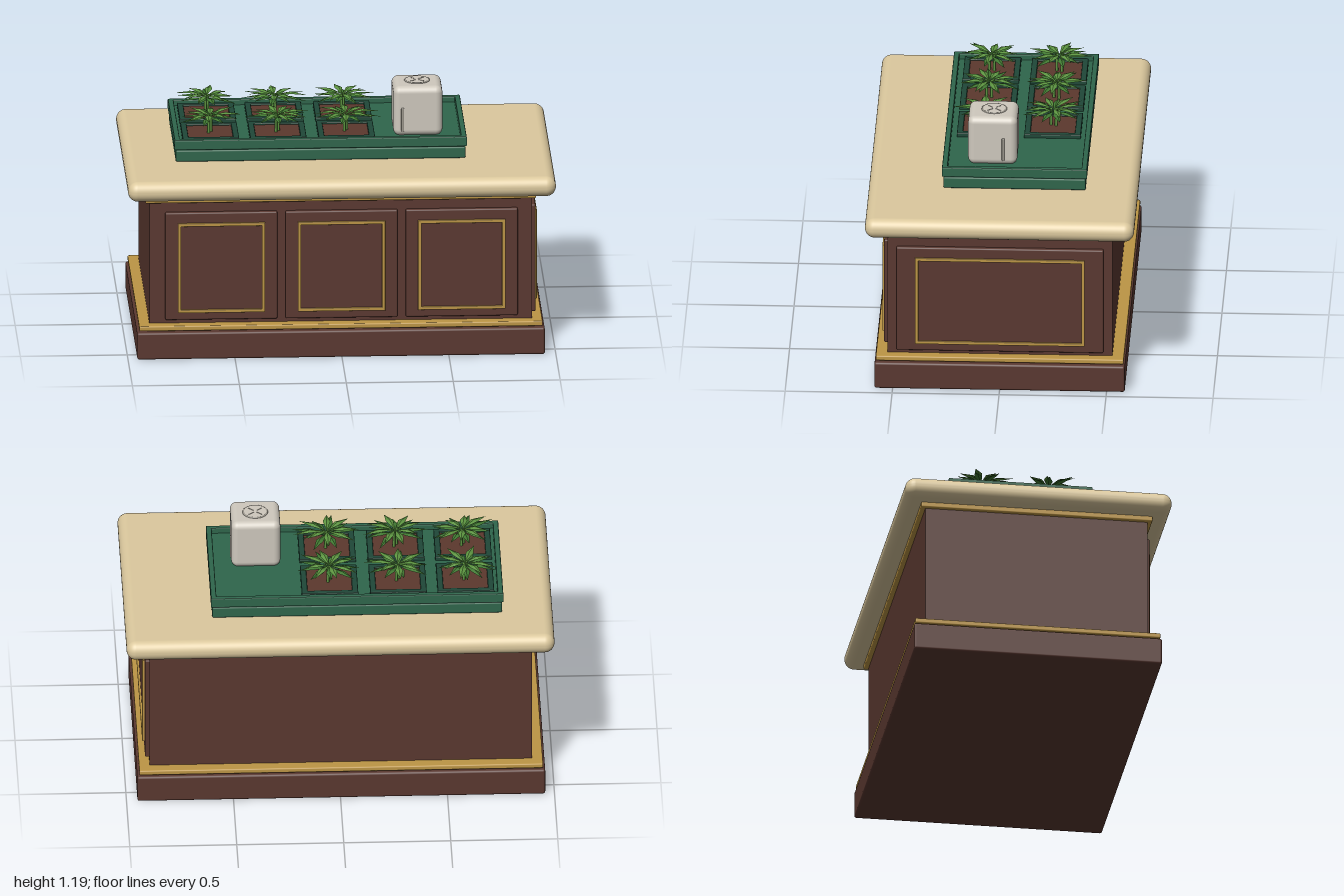
import * as THREE from 'three';
import { mergeGeometries } from 'three/addons/utils/BufferGeometryUtils.js';
import { RoundedBoxGeometry } from 'three/addons/geometries/RoundedBoxGeometry.js';

const material = (name, color, extra = {}) => {
  const m = new THREE.MeshStandardMaterial({ color, ...extra });
  m.name = name;
  return m;
};

export function createModel() {
  const wood = material('dark wood', 0x5a3830);
  const gold = material('gold trim', 0xbd9645);
  const stone = material('cream countertop', 0xdcc99e);
  const green = material('tray green', 0x2f664c);
  const potGreen = material('pot green', 0x1f4838);
  const soilMat = material('soil', 0x5c382e);
  const casing = material('light casing', 0xcfc9be);
  const metal = material('grey metal', 0x9c978d);
  const leafLight = material('light leaf', 0x5c9440, { side: THREE.DoubleSide });
  const leafDark = material('dark leaf', 0x417a32, { side: THREE.DoubleSide });

  const model = new THREE.Group();
  model.name = 'plantCounter';

  const add = (parent, name, geometry, mat, x = 0, y = 0, z = 0) => {
    const mesh = new THREE.Mesh(geometry, mat);
    mesh.name = name;
    mesh.position.set(x, y, z);
    parent.add(mesh);
    return mesh;
  };
  // Rounded block given by its bottom height and size
  const block = (parent, name, mat, w, h, d, x, y, z, r = 0.008, seg = 2) =>
    add(parent, name, new RoundedBoxGeometry(w, h, d, seg, r), mat, x, y + h / 2, z);
  // Rectangular frame in the xy plane, extruded along +z
  const frame = (w, h, border, depth, bevel = 0) => {
    const rect = (Type, a, b) => {
      const s = new Type();
      s.moveTo(-a, -b);
      s.lineTo(a, -b);
      s.lineTo(a, b);
      s.lineTo(-a, b);
      s.closePath();
      return s;
    };
    const shape = rect(THREE.Shape, w / 2 - bevel, h / 2 - bevel);
    shape.holes.push(rect(THREE.Path, w / 2 - border + bevel, h / 2 - border + bevel));
    const g = new THREE.ExtrudeGeometry(shape, {
      depth: depth - 2 * bevel, bevelEnabled: bevel > 0,
      bevelSize: bevel, bevelThickness: bevel, bevelSegments: 2,
    });
    return g.translate(0, 0, bevel);
  };

  // Cabinet with plinth, trims and countertop
  const cx = -0.004;
  block(model, 'plinth', wood, 1.906, 0.13, 1.17, cx, 0, 0, 0.01);
  add(model, 'cabinetBody', new THREE.BoxGeometry(1.788, 0.66, 1.05), wood, cx, 0.45, 0);
  block(model, 'lowerTrim', gold, 1.886, 0.024, 1.158, cx, 0.137, 0, 0.006);
  block(model, 'upperTrim', gold, 1.826, 0.026, 1.092, cx, 0.75, 0, 0.006);
  block(model, 'countertop', stone, 2, 0.096, 1.258, 0, 0.774, 0, 0.046, 5);

  // Raised panels with gold frames: three in front, one on the +x side
  const addPanel = (name, w, goldW, x, z, turn) => {
    const panel = new THREE.Group();
    panel.name = name;
    block(panel, 'panelBoard', wood, w, 0.522, 0.03, 0, -0.261, 0.005, 0.007);
    add(panel, 'panelFrame', frame(goldW, 0.436, 0.015, 0.014, 0.003), gold, 0, -0.007, 0.016);
    panel.position.set(x, 0.441, z);
    panel.rotation.y = turn;
    model.add(panel);
  };
  [-0.562, 0, 0.562].forEach((x) => addPanel('frontPanel', 0.524, 0.408, x, 0.525, 0));
  addPanel('sidePanel', 0.968, 0.792, 0.89, 0, Math.PI / 2);

  // Planting tray
  const tray = new THREE.Group();
  tray.name = 'tray';
  tray.position.set(-0.085, 0, -0.055);
  model.add(tray);
  block(tray, 'trayBase', green, 1.355, 0.056, 0.666, 0, 0.87, 0, 0.008);
  add(tray, 'trayFloor', new THREE.BoxGeometry(1.33, 0.035, 0.64), green, 0, 0.9325, 0);
  const rim = add(tray, 'trayRim', frame(1.366, 0.678, 0.026, 0.05, 0.006), green, 0, 0.928, 0);
  rim.rotation.x = -Math.PI / 2;

  // Folded, pointed leaf lying along +x
  const leaf = (length, width, lift, droop) => {
    const g = new THREE.BufferGeometry();
    const m = length * 0.5;
    g.setAttribute('position', new THREE.Float32BufferAttribute([
      0, 0, 0, m, lift, 0, length, lift - droop, 0,
      m, lift - 0.006, width / 2, m, lift - 0.006, -width / 2,
    ], 3));
    g.setIndex([0, 3, 1, 3, 2, 1, 0, 1, 4, 1, 2, 4]);
    const flat = g.toNonIndexed();
    flat.computeVertexNormals();
    return flat;
  };

  let seed = 17;
  const rand = () => (seed = (seed * 16807) % 2147483647) / 2147483647;

  const whorl = (count, length, width, lift, droop, offset) => {
    const leaves = [];
    for (let i = 0; i < count; i++) {
      const g = leaf(length * (0.8 + 0.35 * rand()), width, lift, droop * (0.6 + 0.8 * rand()));
      g.rotateY(offset + ((i + 0.35 * rand()) / count) * Math.PI * 2);
      leaves.push(g);
    }
    return mergeGeometries(leaves);
  };

  // Six potted seedlings in two rows
  for (const z of [-0.215, 0.1]) {
    for (const x of [-0.595, -0.28, 0.04]) {
      const pot = new THREE.Group();
      pot.name = 'pottedPlant';
      pot.position.set(x, 0, z);
      model.add(pot);
      const lip = add(pot, 'potRim', frame(0.264, 0.264, 0.028, 0.024, 0.005), potGreen, 0, 0.946, 0);
      lip.rotation.x = -Math.PI / 2;
      add(pot, 'soil', new THREE.BoxGeometry(0.215, 0.012, 0.215), soilMat, 0, 0.955, 0);
      for (const [sx, sz] of [[-0.006, 0.012], [0.006, -0.012]]) {
        add(pot, 'stem', new THREE.CylinderGeometry(0.006, 0.007, 0.09, 8), leafLight, sx, 1, sz);
      }
      const turn = rand() * 6;
      add(pot, 'lowerLeaves', whorl(9, 0.15, 0.036, 0.014, 0.012, turn), leafDark, 0, 1.032, 0);
      add(pot, 'upperLeaves', whorl(8, 0.14, 0.036, 0.016, 0.012, turn + 0.4), leafLight, 0, 1.044, 0);
    }
  }

  // Small appliance with side slots and a round top vent
  const unit = new THREE.Group();
  unit.name = 'appliance';
  unit.position.set(0.376, 0, 0.052);
  model.add(unit);
  block(unit, 'applianceBody', casing, 0.23, 0.24, 0.23, 0, 0.945, 0, 0.032, 4);
  block(unit, 'frontStrip', metal, 0.014, 0.115, 0.012, -0.072, 0.97, 0.114, 0.005);
  block(unit, 'sideStrip', metal, 0.012, 0.115, 0.014, 0.114, 0.97, -0.05, 0.005);
  add(unit, 'ventDisc', new THREE.CylinderGeometry(0.054, 0.056, 0.006, 32), casing, 0, 1.186, -0.004);
  const ring = add(unit, 'ventRing', new THREE.TorusGeometry(0.055, 0.005, 8, 32), metal, 0, 1.185, -0.004);
  ring.rotation.x = Math.PI / 2;
  for (let i = 0; i < 4; i++) {
    const slit = add(unit, 'ventSlit', new THREE.BoxGeometry(0.03, 0.003, 0.005), metal, 0, 1.189, -0.004);
    slit.rotation.y = Math.PI / 4 + (i * Math.PI) / 2;
    slit.translateX(0.027);
  }

  return model;
}
